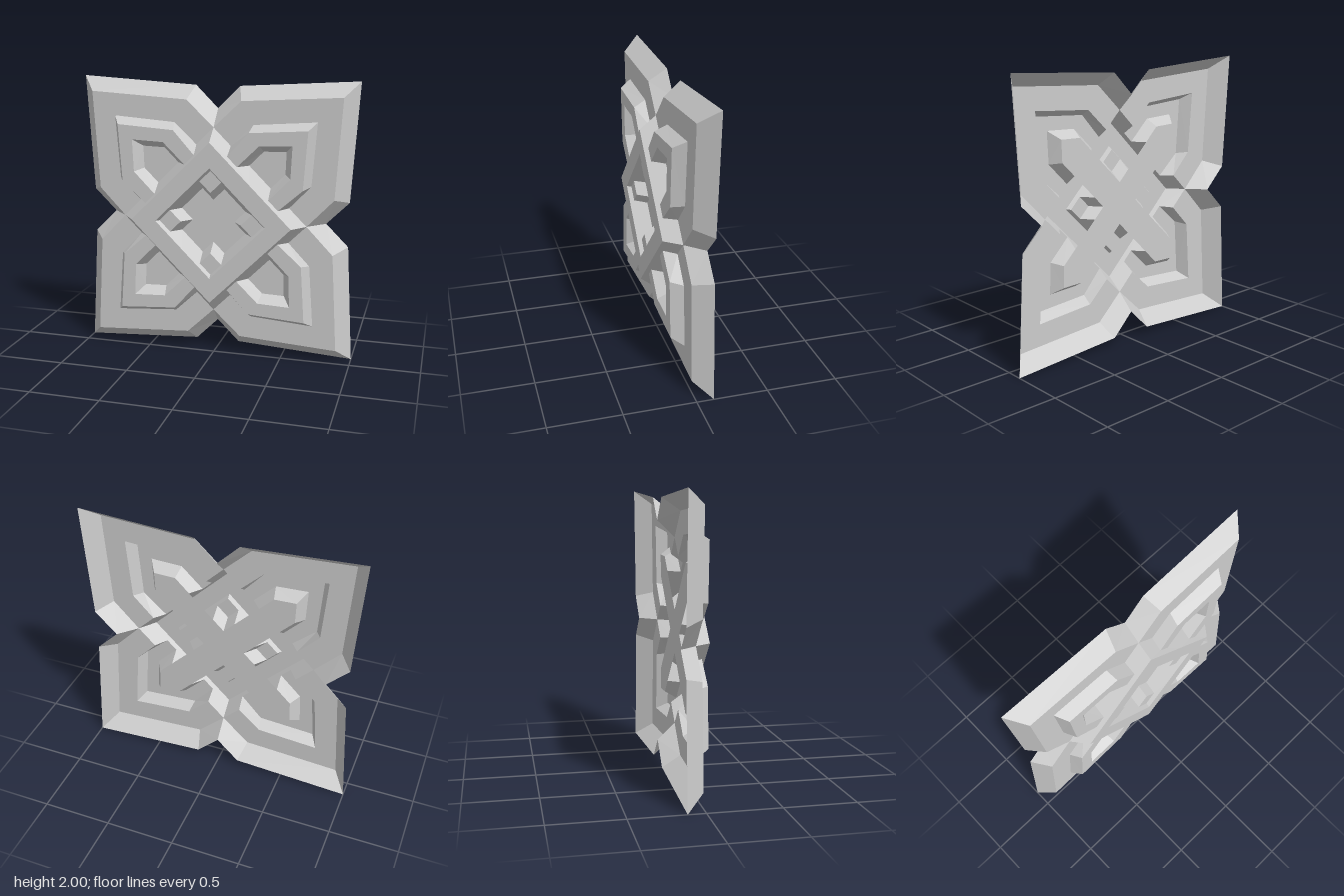
import * as THREE from 'three';

// Depth levels: rim edge, border and floor, raised band, diamond frame
const R = -0.12, Z = 0.005, M = 0.09, T = 0.12;
const at = (z, ...pts) => pts.map(([x, y]) => [x, y, z]);

// Each profile runs from the vertical axis to the diagonal of one petal
const outer = at(R, [0, 0.79], [0.16, 0.95], [1, 1]);
const border = at(Z, [0, 0.67], [0.197, 0.858], [0.9, 0.9]);
const bandFoot = at(Z, [0.125, 0.545], [0.285, 0.697], [0.73, 0.73]);
const bandOut = at(M, [0.12, 0.483], [0.27, 0.652], [0.68, 0.68]);
const bandIn = at(M, [0.19, 0.413], [0.345, 0.565], [0.575, 0.575]);
const pocket = at(Z, [0.258, 0.412], [0.361, 0.515], [0.52, 0.52]);

// Diamond frame, and the small blocks in its inner corners
const [foot, top0, top1, in0, in1, inFoot] = [
  [0.335, 0.335, Z], [0, 0.58, T], [0.29, 0.29, T],
  [0, 0.4, T], [0.2, 0.2, T], [0.1575, 0.1575, Z],
];
const [blockBack, blockSide, blockTip, baseSide, baseTip] = [
  [0, 0.378, M], [0.079, 0.299, M], [0, 0.22, M], [0.0805, 0.2345, Z], [0, 0.154, Z],
];

// Quads joining two profiles
function strip(a, b) {
  return a.slice(1).map((p, i) => [a[i], p, b[i + 1], b[i]]);
}

const parts = {
  petalRim: strip(outer, border),
  petalBorder: strip(border, bandFoot),
  raisedBand: [
    ...strip(bandFoot, bandOut), ...strip(bandOut, bandIn), ...strip(bandIn, pocket),
  ],
  diamondFrame: [
    [border[0], bandFoot[0], bandOut[0], top0],
    [top0, bandOut[0], bandIn[0], top1],
    [top1, bandIn[0], pocket[0], foot],
    [top0, top1, in1, in0],
    [in0, in1, blockSide, blockBack],
    [in1, inFoot, baseSide, blockSide],
  ],
  cornerBlocks: [
    [blockBack, blockSide, blockTip],
    [blockSide, baseSide, baseTip, blockTip],
  ],
  crossFloor: [[[0, 0, Z], baseTip, pocket[1], pocket[2]]],
};

// Repeat the faces over all eight sectors, always turned to the front
function buildPart(faces) {
  const pos = [];
  for (let k = 0; k < 8; k++) {
    const a = Math.floor(k / 2) * Math.PI / 2;
    const c = Math.round(Math.cos(a)), s = Math.round(Math.sin(a));
    const place = ([x, y, z]) => {
      const u = k % 2 ? -x : x;
      return [u * c - y * s, u * s + y * c, z];
    };
    for (const face of faces) {
      const p = face.map(place);
      for (let i = 1; i < p.length - 1; i++) {
        const [q, r, t] = [p[0], p[i], p[i + 1]];
        const turn = (r[0] - q[0]) * (t[1] - q[1]) - (r[1] - q[1]) * (t[0] - q[0]);
        pos.push(...q, ...(turn > 0 ? [...r, ...t] : [...t, ...r]));
      }
    }
  }
  const geo = new THREE.BufferGeometry();
  geo.setAttribute('position', new THREE.Float32BufferAttribute(pos, 3));
  geo.computeVertexNormals();
  return geo;
}

export function createModel() {
  const group = new THREE.Group();
  group.name = 'fourPetalOrnament';
  // The relief is an open shell, visible from behind as well
  const material = new THREE.MeshStandardMaterial({
    color: 0xcccccc, flatShading: true, side: THREE.DoubleSide,
  });
  for (const [name, faces] of Object.entries(parts)) {
    const mesh = new THREE.Mesh(buildPart(faces), material);
    mesh.name = name;
    mesh.position.y = 1;
    group.add(mesh);
  }
  return group;
}
